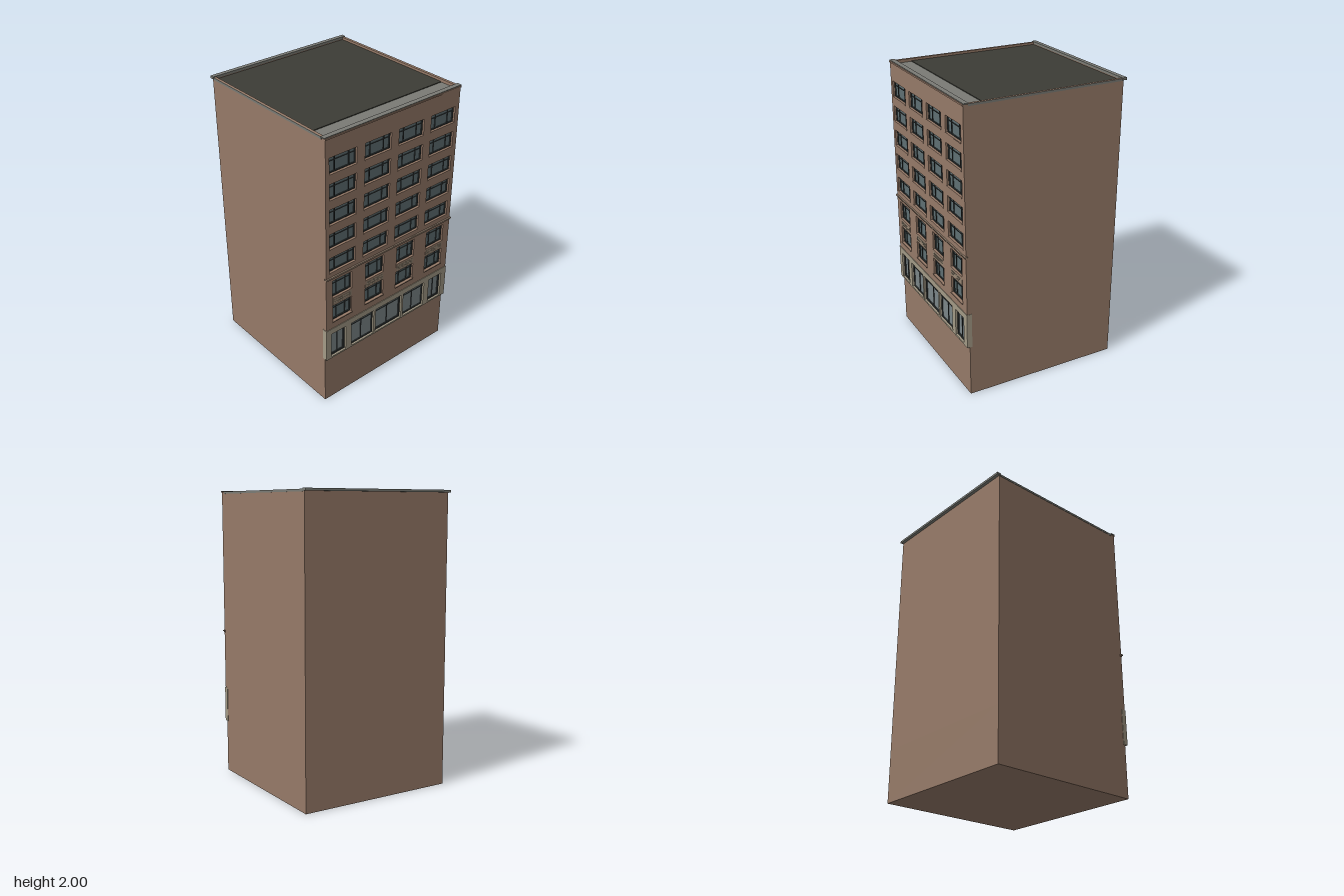
import * as THREE from 'three';

const mat = (color) => new THREE.MeshStandardMaterial({ color });
const BRICK = mat(0x967a68), STONE = mat(0xa39a86), GREY = mat(0x7a7b75), ROOF = mat(0x3c3c36);
const GLASS = mat(0x5f7073), SHOP_GLASS = mat(0x7b8688), FRAME = mat(0x2e3333), SPANDREL = mat(0x927f6d);

// Box given by its min and max corners
function box(parent, name, material, x0, x1, y0, y1, z0, z1) {
  const m = new THREE.Mesh(new THREE.BoxGeometry(x1 - x0, y1 - y0, z1 - z0), material);
  m.position.set((x0 + x1) / 2, (y0 + y1) / 2, (z0 + z1) / 2);
  m.name = name;
  parent.add(m);
  return m;
}

function rectPath(path, x0, x1, y0, y1) {
  path.moveTo(x0, y0);
  path.lineTo(x1, y0);
  path.lineTo(x1, y1);
  path.lineTo(x0, y1);
  path.closePath();
  return path;
}

// Wall slab pierced by rectangular openings
function wall(parent, name, material, [x0, x1, y0, y1], z0, z1, openings) {
  const shape = rectPath(new THREE.Shape(), x0, x1, y0, y1);
  for (const o of openings) shape.holes.push(rectPath(new THREE.Path(), o.x0, o.x1, o.y0, o.y1));
  const m = new THREE.Mesh(new THREE.ExtrudeGeometry(shape, { depth: z1 - z0, bevelEnabled: false }), material);
  m.position.z = z0;
  m.name = name;
  parent.add(m);
}

// Glass pane with a dark frame, mullions and an optional transom
function glazing(parent, name, o, z, glass) {
  const g = new THREE.Group();
  g.name = name;
  const { x0, x1, y0, y1, mullions, transom } = o;
  const t = o.frame ?? 0.006, w = x1 - x0, h = y1 - y0;
  box(g, 'glass', glass, x0, x1, y0, y1, z - 0.004, z + 0.004);
  for (const [a, b] of [[x0, x0 + t], [x1 - t, x1]]) box(g, 'frameSide', FRAME, a, b, y0, y1, z, z + 0.012);
  for (const [a, b] of [[y0, y0 + t], [y1 - t, y1]]) box(g, 'frameRail', FRAME, x0 + t, x1 - t, a, b, z, z + 0.012);
  for (const f of mullions) {
    box(g, 'mullion', FRAME, x0 + w * f - 0.0025, x0 + w * f + 0.0025, y0 + t, y1 - t, z, z + 0.009);
  }
  if (transom) {
    const ty = y0 + h * transom;
    box(g, 'transom', FRAME, x0 + t, x1 - t, ty - 0.0025, ty + 0.0025, z, z + 0.008);
  }
  parent.add(g);
}

export function createModel() {
  const building = new THREE.Group();
  building.name = 'building';

  // Main block and the plinth below the shops
  box(building, 'mainBlock', BRICK, -0.55, 0.55, 0.365, 1.97, -0.55, 0.53);
  box(building, 'plinth', BRICK, -0.55, 0.55, 0, 0.365, -0.55, 0.545);

  // Upper windows: five rows of four
  const upper = [], middle = [];
  const columns = [0, 1, 2, 3];
  for (let row = 0; row < 5; row++) {
    for (const c of columns) {
      const x0 = -0.521 + c * 0.275, y0 = 1.061 + row * 0.1735;
      upper.push({ x0, x1: x0 + 0.211, y0, y1: y0 + 0.108, mullions: [0.25, 0.77], transom: 0.7 });
    }
  }
  // Middle windows: two rows of four
  for (const [y0, y1] of [[0.668, 0.79], [0.857, 0.987]]) {
    for (const c of columns) {
      const x0 = -0.497 + c * 0.276;
      middle.push({ x0, x1: x0 + 0.16, y0, y1, mullions: [0.27, 0.73], transom: 0.73, frame: 0.008 });
    }
  }
  wall(building, 'brickFacade', BRICK, [-0.55, 0.55, 0.61, 1.995], 0.53, 0.562, [...upper, ...middle]);
  for (const o of [...upper, ...middle]) {
    glazing(building, 'window', o, 0.537, GLASS);
    box(building, 'windowSill', BRICK, o.x0, o.x1, o.y0 - 0.008, o.y0, 0.545, 0.565);
  }

  // Spandrel panels with rows of small blocks, and ledges under the lower windows
  for (const c of columns) {
    const x0 = -0.497 + c * 0.276, x1 = x0 + 0.16;
    box(building, 'spandrel', SPANDREL, x0, x1, 0.797, 0.85, 0.56, 0.564);
    for (let r = 0; r < 2; r++) {
      for (let i = 0; i < 9; i++) {
        const x = x0 + 0.012 + i * 0.016;
        box(building, 'spandrelBlock', STONE, x, x + 0.008, 0.81 + r * 0.018, 0.818 + r * 0.018, 0.563, 0.566);
      }
    }
    box(building, 'windowLedge', BRICK, x0 - 0.004, x1 + 0.004, 0.66, 0.668, 0.56, 0.569);
  }

  // Stone shop front with two doors and three display windows
  const doors = [-0.51, 0.384].map((x0) => (
    { x0, x1: x0 + 0.122, y0: 0.377, y1: 0.568, mullions: [0.5], frame: 0.012 }));
  const displays = [[-0.338, -0.14, [0.5]], [-0.122, 0.118, [0.5]], [0.136, 0.336, [0.5]]].map(([x0, x1, mullions]) => (
    { x0, x1, y0: 0.377, y1: 0.568, mullions, transom: 0.82, frame: x0 < 0 && x1 > 0 ? 0.011 : 0.006 }));
  wall(building, 'shopFront', STONE, [-0.553, 0.553, 0.365, 0.61], 0.53, 0.566, [...doors, ...displays]);
  for (const o of doors) glazing(building, 'shopDoor', o, 0.54, SHOP_GLASS);
  for (const o of displays) glazing(building, 'displayWindow', o, 0.54, SHOP_GLASS);

  // String course between the middle and upper floors
  box(building, 'stringCourse', BRICK, -0.553, 0.553, 1.008, 1.016, 0.55, 0.568);
  box(building, 'stringCourseCap', SPANDREL, -0.557, 0.557, 1.016, 1.024, 0.55, 0.572);

  // Roof surface with a grey strip behind the front parapet
  box(building, 'roof', ROOF, -0.53, 0.53, 1.965, 1.98, -0.545, 0.415);
  box(building, 'roofStrip', GREY, -0.535, 0.535, 1.965, 1.975, 0.415, 0.53);

  // Side parapets with a grey outer flashing
  for (const s of [-1, 1]) {
    const side = (name, m, a, b, y0, y1) =>
      box(building, name, m, Math.min(s * a, s * b), Math.max(s * a, s * b), y0, y1, -0.55, 0.53);
    side('sideParapet', BRICK, 0.532, 0.55, 1.96, 1.995);
    side('sideFlashing', GREY, 0.549, 0.552, 1.98, 1.995);
  }

  // Copings
  box(building, 'backParapet', BRICK, -0.55, 0.55, 1.96, 1.985, -0.55, -0.54);
  box(building, 'backCoping', GREY, -0.555, 0.555, 1.984, 2, -0.571, -0.54);
  box(building, 'frontCoping', GREY, -0.557, 0.557, 1.993, 2, 0.528, 0.562);
  box(building, 'frontCopingLip', BRICK, -0.553, 0.553, 1.985, 1.995, 0.555, 0.567);

  return building;
}
